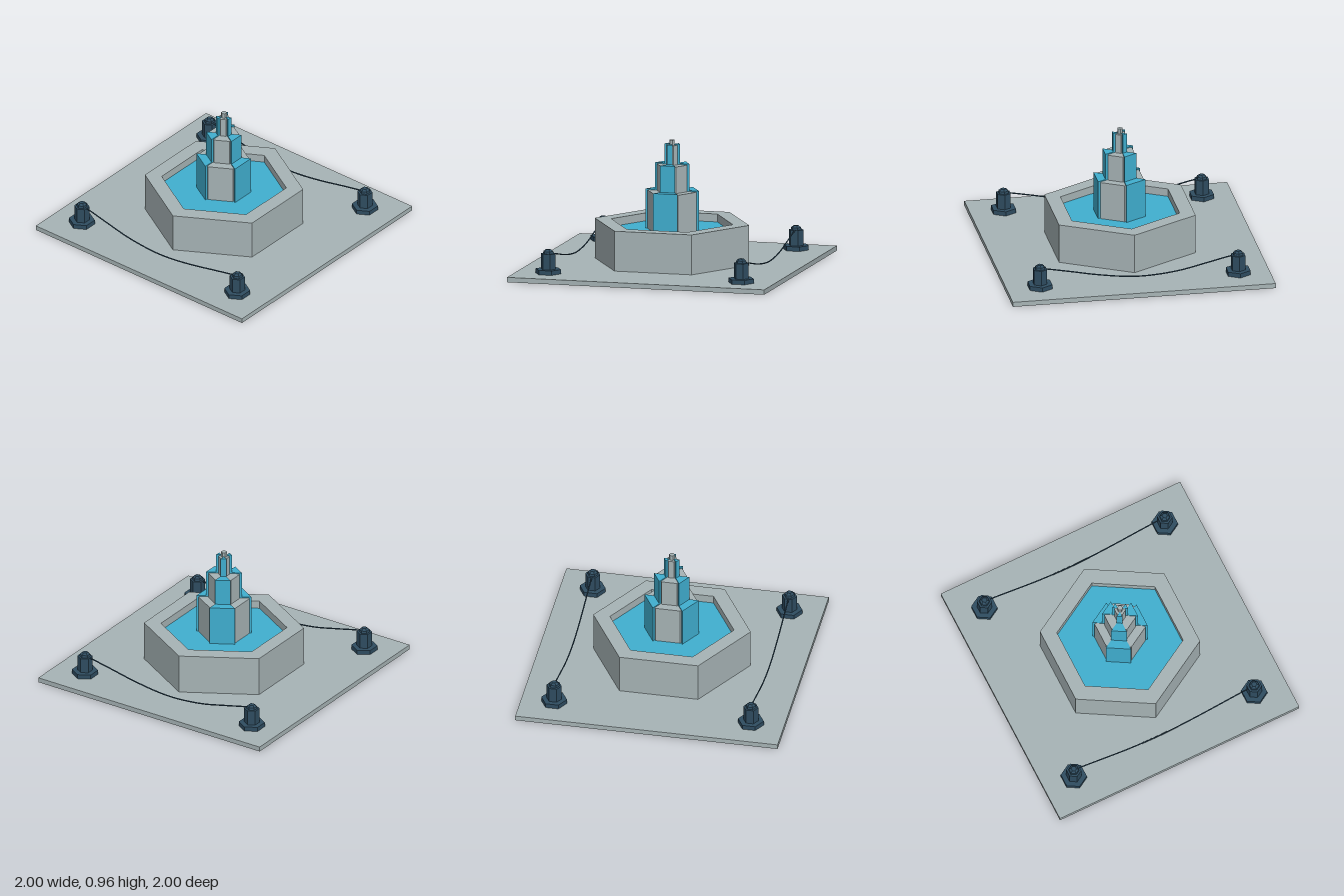
import * as THREE from 'three';

const material = (name, color) => {
  const m = new THREE.MeshStandardMaterial({ color });
  m.name = name;
  return m;
};

// Hexagon outline with corners on the z axis once laid flat
const hexPoints = (r) => Array.from({ length: 6 }, (_, i) => {
  const a = i * Math.PI / 3;
  return new THREE.Vector2(r * Math.sin(a), -r * Math.cos(a));
});

// Extrude a shape upward from y0 to y1
function extrudeUp(shape, y0, y1) {
  const g = new THREE.ExtrudeGeometry(shape, { depth: y1 - y0, bevelEnabled: false });
  return g.rotateX(-Math.PI / 2).translate(0, y0, 0);
}

// Six-sided flat-faced column, optionally tapered
function hexColumn(rBottom, rTop, y0, y1) {
  const g = new THREE.CylinderGeometry(rTop, rBottom, y1 - y0, 6).toNonIndexed();
  g.computeVertexNormals();
  return g.translate(0, (y0 + y1) / 2, 0);
}

export function createModel() {
  const root = new THREE.Group();
  root.name = 'fountainPlaza';
  const stone = material('stone', 0xa7b4b6);
  const water = material('water', 0x40afd0);
  const iron = material('darkIron', 0x2f4d61);

  const add = (parent, name, geometry, mat) => {
    const mesh = new THREE.Mesh(geometry, mat);
    mesh.name = name;
    parent.add(mesh);
    return mesh;
  };

  // Paving slab
  add(root, 'slab', new THREE.BoxGeometry(2, 0.037, 2).translate(0, 0.0185, 0), stone);

  // Basin wall and pool
  const wall = new THREE.Shape(hexPoints(0.6));
  wall.holes.push(new THREE.Path(hexPoints(0.473)));
  add(root, 'basinWall', extrudeUp(wall, 0.037, 0.34), stone);
  add(root, 'pool', hexColumn(0.474, 0.474, 0.04, 0.28), water);

  // Tiered tower: stone hexagons with water falling over alternate sides
  const tower = new THREE.Group();
  tower.name = 'tower';
  root.add(tower);
  const tiers = [
    { r: 0.19, y0: 0.28, y1: 0.58 },
    { r: 0.117, y0: 0.57, y1: 0.782 },
    { r: 0.042, y0: 0.77, y1: 0.93 },
  ];
  tiers.forEach(({ r, y0, y1 }) => {
    add(tower, 'towerTier', hexColumn(r, r, y0, y1 - 0.008), stone);
    const h = r * Math.sqrt(3) / 2;
    const wedge = new THREE.Shape([
      new THREE.Vector2(0, 0),
      new THREE.Vector2(-r / 2, -h),
      new THREE.Vector2(r / 2, -h),
    ]);
    for (const yaw of [90, 210, 330]) {
      const g = extrudeUp(wedge, y0, y1).translate(0, 0, 0.02);
      add(tower, 'waterfall', g.rotateY(THREE.MathUtils.degToRad(yaw)), water);
    }
  });
  add(tower, 'spout', hexColumn(0.021, 0.021, 0.92, 0.962), stone);

  // Bollards at the corners
  for (const x of [-0.76, 0.748]) {
    for (const z of [-0.75, 0.75]) {
      const bollard = new THREE.Group();
      bollard.name = 'bollard';
      bollard.position.set(x, 0, z);
      root.add(bollard);
      add(bollard, 'bollardFoot', hexColumn(0.098, 0.098, 0.037, 0.071), iron);
      add(bollard, 'bollardPost', hexColumn(0.057, 0.057, 0.071, 0.188), iron);
      add(bollard, 'bollardCap', hexColumn(0.041, 0.038, 0.188, 0.206), iron);
      add(bollard, 'bollardTip', hexColumn(0.038, 0.02, 0.206, 0.22), iron);
    }
  }

  // Sagging ropes along the front and back
  const sag = [[-0.755, 0.19], [-0.7, 0.182], [-0.52, 0.14], [-0.3, 0.092],
    [-0.05, 0.07], [0.12, 0.079], [0.33, 0.11], [0.52, 0.148], [0.7, 0.182], [0.745, 0.188]];
  for (const z of [-0.75, 0.75]) {
    const curve = new THREE.CatmullRomCurve3(sag.map(([x, y]) => new THREE.Vector3(x, y, z)));
    add(root, 'rope', new THREE.TubeGeometry(curve, 40, 0.005, 6), iron);
  }

  return root;
}
